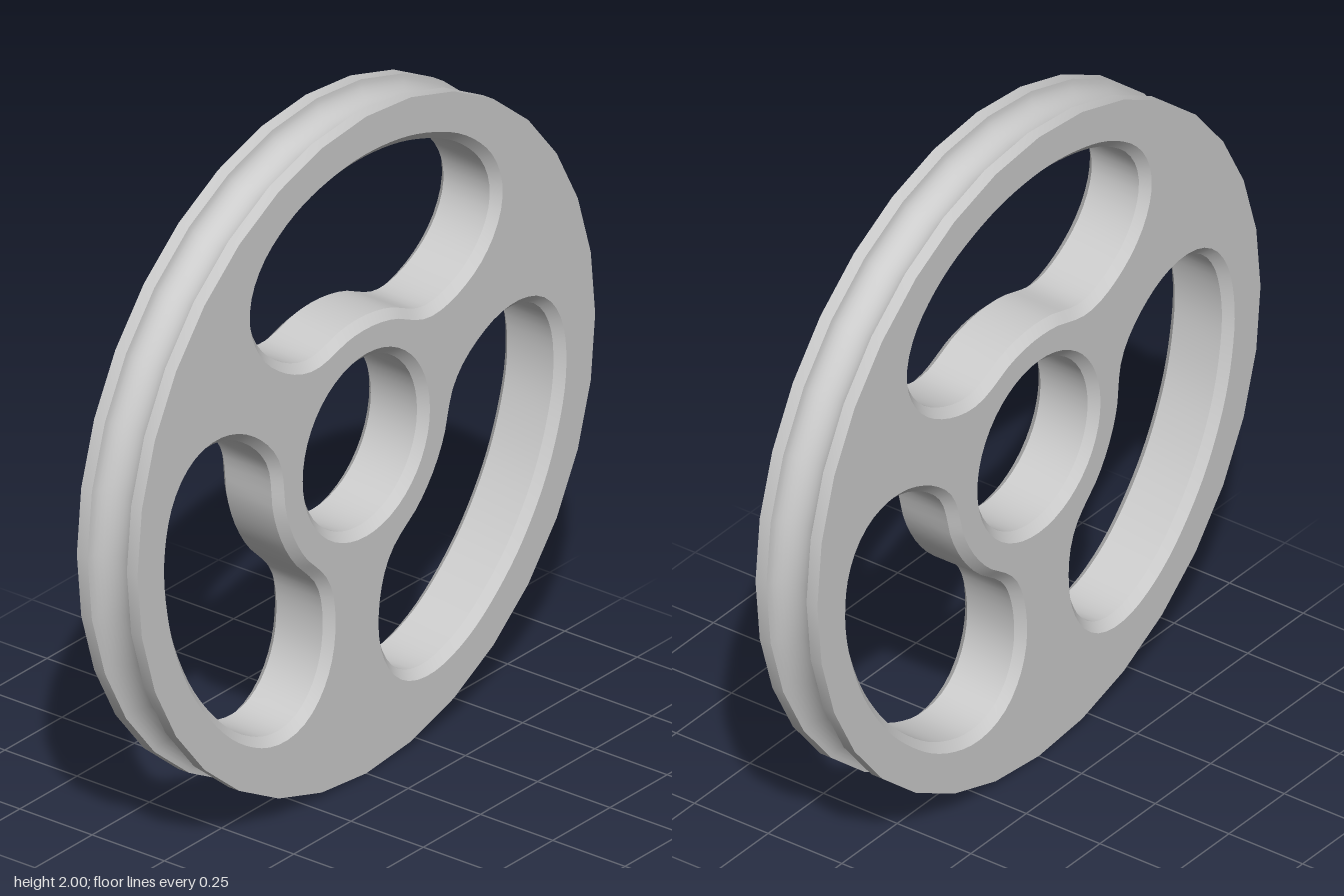
import * as THREE from 'three';

const HALF = 0.105;      // half thickness
const BEVEL = 0.025;     // chamfer on every opening
const SIDES = 32;

const material = new THREE.MeshStandardMaterial({ color: 0xcccccc });

const circle = (r, n) => Array.from({ length: n }, (_, i) => {
  const a = (i / n) * Math.PI * 2;
  return new THREE.Vector2(r * Math.cos(a), r * Math.sin(a));
});

// Shift a counter-clockwise closed outline inwards
function inset(points, d) {
  const n = points.length;
  return points.map((p, i) => {
    const t = points[(i + 1) % n].clone().sub(points[(i + n - 1) % n]).normalize();
    return new THREE.Vector2(p.x - t.y * d, p.y + t.x * d);
  });
}

// Smooth closed wall through rings of { points, z }; descending z faces outwards, ascending inwards
function loft(rings) {
  const n = rings[0].points.length;
  const pos = [], index = [];
  rings.forEach(({ points, z }) => points.forEach(p => pos.push(p.x, p.y, z)));
  for (let k = 0; k < rings.length - 1; k++) {
    for (let i = 0; i < n; i++) {
      const a = k * n + i, b = k * n + (i + 1) % n;
      index.push(a, a + n, b, b, a + n, b + n);
    }
  }
  const g = new THREE.BufferGeometry();
  g.setAttribute('position', new THREE.Float32BufferAttribute(pos, 3));
  g.setIndex(index);
  g.computeVertexNormals();
  return g;
}

// Kidney-shaped window: half outline, mirrored and smoothed
function windowOutline() {
  const half = [
    [0, 0.353], [0.1, 0.342], [0.166, 0.319], [0.215, 0.303], [0.27, 0.299], [0.33, 0.311],
    [0.4, 0.341], [0.467, 0.387], [0.52, 0.45], [0.549, 0.52], [0.553, 0.58], [0.537, 0.642],
    [0.495, 0.708], [0.426, 0.768], [0.34, 0.817], [0.23, 0.855], [0.115, 0.879], [0, 0.886],
  ];
  const mirrored = half.slice(1, -1).reverse().map(([x, y]) => [-x, y]);
  const curve = new THREE.CatmullRomCurve3(
    [...half, ...mirrored].map(([x, y]) => new THREE.Vector3(x, y, 0)), true);
  return curve.getSpacedPoints(72).slice(0, -1).map(p => new THREE.Vector2(p.x, p.y));
}

export function createModel() {
  const group = new THREE.Group();
  const wheel = new THREE.Group();
  wheel.name = 'wheel';
  wheel.position.y = 1;
  group.add(wheel);

  const add = (name, geometry, parent = wheel) => {
    const mesh = new THREE.Mesh(geometry, material);
    mesh.name = name;
    parent.add(mesh);
  };

  // Openings: hub bore and three windows
  const openings = [{ name: 'hubBore', points: circle(0.278, 48) }];
  const outline = windowOutline();
  for (let i = 0; i < 3; i++) {
    const angle = THREE.MathUtils.degToRad(-4.4 + i * 120);
    openings.push({
      name: `window${i + 1}`,
      points: outline.map(p => p.clone().rotateAround(new THREE.Vector2(), angle)),
    });
  }

  // Front and back faces
  const rim = circle(1, SIDES);
  const shape = new THREE.Shape(rim);
  openings.forEach(o => shape.holes.push(new THREE.Path(o.points)));
  const front = new THREE.ShapeGeometry(shape);
  const back = front.clone().translate(0, 0, -HALF);
  back.setIndex(Array.from(back.index.array).reverse());
  back.computeVertexNormals();
  add('frontFace', front.translate(0, 0, HALF));
  add('backFace', back);

  // Chamfered walls of each opening
  for (const { name, points } of openings) {
    const part = new THREE.Group();
    part.name = name;
    wheel.add(part);
    const inner = inset(points, BEVEL);
    const z = HALF - BEVEL;
    add('backChamfer', loft([{ points, z: -HALF }, { points: inner, z: -z }]), part);
    add('wall', loft([{ points: inner, z: -z }, { points: inner, z }]), part);
    add('frontChamfer', loft([{ points: inner, z }, { points, z: HALF }]), part);
  }

  // Rim lips and the rounded cord groove between them
  const grooveHalf = 0.068, grooveDepth = 0.06;
  add('frontLip', loft([{ points: rim, z: HALF }, { points: rim, z: grooveHalf }]));
  add('backLip', loft([{ points: rim, z: -grooveHalf }, { points: rim, z: -HALF }]));
  const groove = [];
  for (let i = 0; i <= 16; i++) {
    const a = (i / 16) * Math.PI;
    groove.push({
      points: circle(1 - grooveDepth * Math.sin(a), SIDES),
      z: grooveHalf * Math.cos(a),
    });
  }
  add('groove', loft(groove));

  return group;
}
